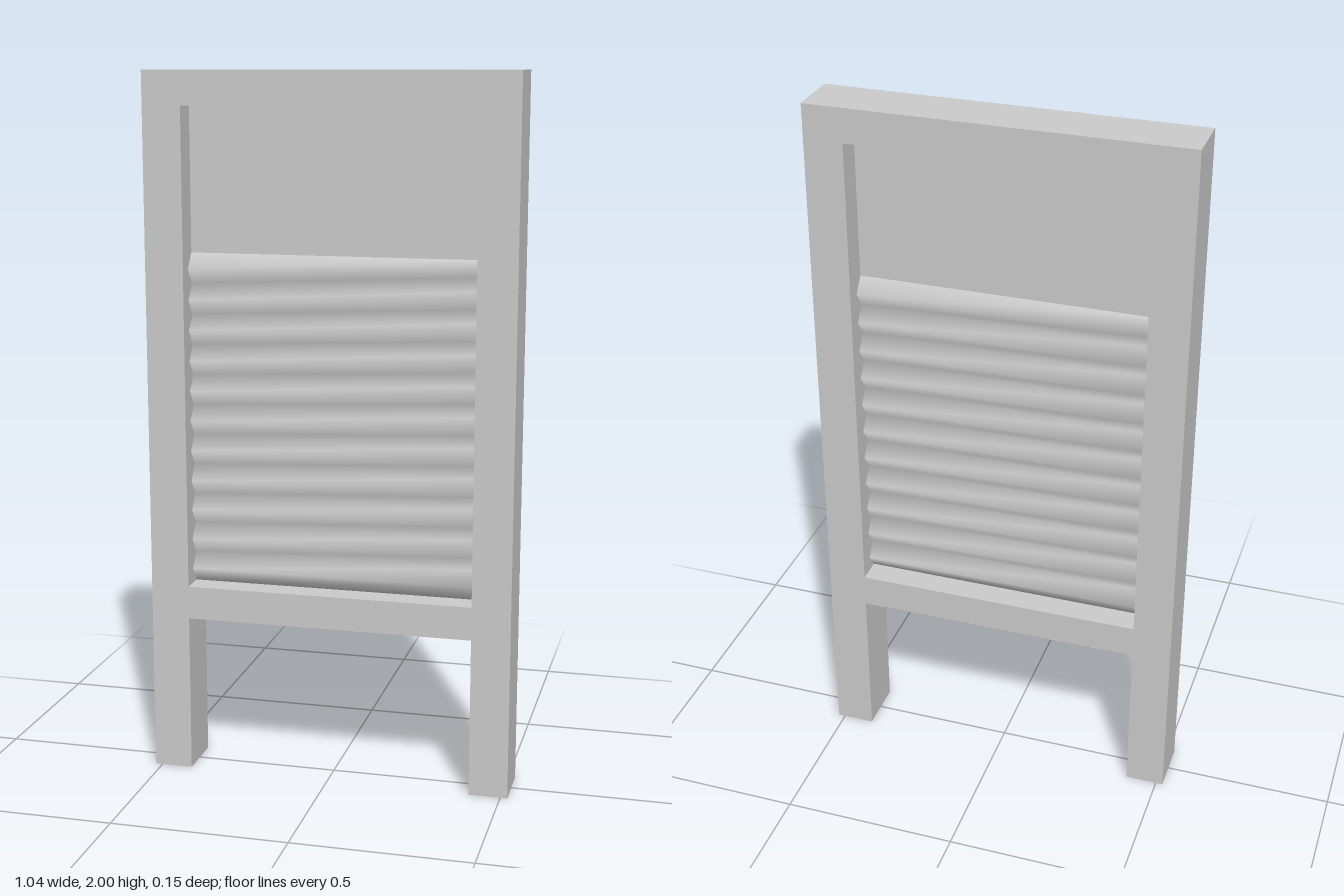
import * as THREE from 'three';

const W = 0.52, INNER = 0.41, DEPTH = 0.154;   // half width, half opening, frame depth
const RAIL = 0.455, SILL = 0.55, RIBS_TOP = 1.5, HEAD = 1.905, TOP = 2;
const RIBS = 11, RIB_DEPTH = 0.032, SHEET = 0.002;

const points = (list) => list.map(([x, y]) => new THREE.Vector2(x, y));

export function createModel() {
  const group = new THREE.Group();
  const material = new THREE.MeshStandardMaterial({ color: 0xcccccc });
  const add = (name, geometry, mat = material) => {
    const mesh = new THREE.Mesh(geometry, mat);
    mesh.name = name;
    group.add(mesh);
    return mesh;
  };

  // Frame: two stiles running down into legs, joined by a top and a bottom rail
  const outline = new THREE.Shape(points([
    [-W, 0], [-INNER, 0], [-INNER, RAIL], [INNER, RAIL],
    [INNER, 0], [W, 0], [W, TOP], [-W, TOP],
  ]));
  outline.holes.push(new THREE.Path(points([
    [-INNER, SILL], [-INNER, HEAD], [INNER, HEAD], [INNER, SILL],
  ])));
  const frame = new THREE.ExtrudeGeometry(outline, { depth: DEPTH, bevelEnabled: false });
  frame.translate(0, 0, -DEPTH / 2);
  add('frame', frame);

  // Thin flat panel in the middle of the frame, above the ribs
  const panel = new THREE.BoxGeometry(2 * INNER, HEAD - RIBS_TOP, 2 * SHEET);
  panel.translate(0, (HEAD + RIBS_TOP) / 2, 0);
  add('upperPanel', panel);

  // Ribbed scrubbing surface: every second row of a plane is pulled forward
  const ribs = new THREE.PlaneGeometry(2 * INNER, RIBS_TOP - SILL, 1, 2 * RIBS);
  const pos = ribs.attributes.position;
  for (let i = 0; i < pos.count; i++) {
    const row = Math.floor(i / 2);
    pos.setZ(i, SHEET + (row % 2) * RIB_DEPTH);
  }
  ribs.computeVertexNormals();
  ribs.translate(0, (RIBS_TOP + SILL) / 2, 0);
  add('frontRibs', ribs);
  add('backRibs', ribs).rotation.y = Math.PI;

  return group;
}
